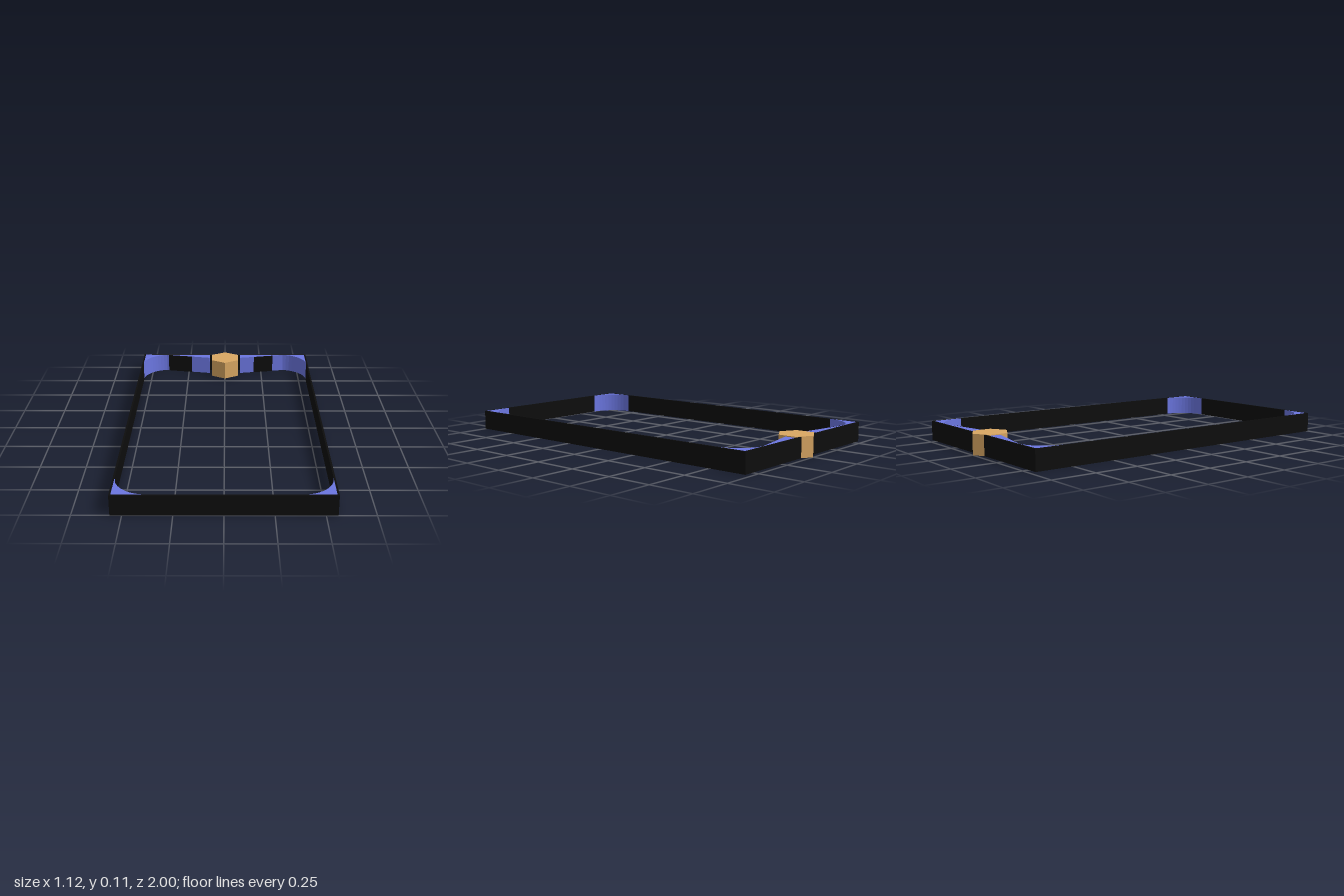
import * as THREE from 'three';

const HEIGHT = 0.112;
const X = 0.56, BACK = -0.965, FRONT = 1.0; // outer frame limits
const WALL = 0.01;

const material = (color) => new THREE.MeshStandardMaterial({ color, flatShading: true });
const black = material(0x0d0d0d);
const blue = material(0x6b76e0);
const tan = material(0xd9a763);

// Shapes are drawn in plan as (x, -z) and raised along y.
function plate(name, shape, mat, height = HEIGHT) {
  const geometry = new THREE.ExtrudeGeometry(shape, { depth: height, bevelEnabled: false, curveSegments: 12 });
  geometry.rotateX(-Math.PI / 2);
  const mesh = new THREE.Mesh(geometry, mat);
  mesh.name = name;
  return mesh;
}

const polygon = (points) => new THREE.Shape(points.map(([x, z]) => new THREE.Vector2(x, -z)));
const rectangle = (x, back, front) => [[-x, back], [-x, front], [x, front], [x, back]];

// Corner filler with a concave rounded inner face; sx and sz point to the corner.
function cornerFillet(sx, sz) {
  const r = 0.17;
  const cx = sx * (X - WALL);
  const cz = sz > 0 ? FRONT - WALL : BACK + WALL;
  const points = [[cx, cz]];
  for (let i = 0; i <= 12; i++) {
    const a = (i / 12) * Math.PI / 2;
    points.push([cx - sx * r * (1 - Math.cos(a)), cz - sz * r * (1 - Math.sin(a))]);
  }
  return polygon(points);
}

export function createModel() {
  const model = new THREE.Group();
  model.name = 'rectangularFrame';

  // Thin rectangular band
  const band = polygon(rectangle(X, BACK, FRONT));
  band.holes.push(polygon(rectangle(X - WALL, BACK + WALL, FRONT - WALL)));
  model.add(plate('frameBand', band, black));

  // Four rounded corners
  for (const sx of [-1, 1]) {
    for (const sz of [-1, 1]) {
      const name = (sz > 0 ? 'front' : 'back') + (sx > 0 ? 'Left' : 'Right') + 'CornerFillet';
      model.add(plate(name, cornerFillet(sx, sz), blue));
    }
  }

  // Tapering braces beside the hexagonal block, each with a dark inner strip
  const inner = BACK + WALL;
  const braceZ = (x) => inner + 0.06 * (0.41 - x) / 0.305;
  for (const s of [-1, 1]) {
    const side = s > 0 ? 'left' : 'right';
    const brace = polygon([[s * 0.105, inner], [s * 0.105, braceZ(0.105)], [s * 0.41, inner]]);
    model.add(plate(side + 'Brace', brace, blue));
    const [a, b] = s > 0 ? [0.2, 0.33] : [0.23, 0.39];
    const strip = polygon([
      [s * a, braceZ(a)], [s * a, braceZ(a) + 0.004],
      [s * b, braceZ(b) + 0.004], [s * b, braceZ(b)],
    ]);
    model.add(plate(side + 'BraceStrip', strip, black));
  }

  // Hexagonal block set through the back wall
  const block = new THREE.Mesh(new THREE.CylinderGeometry(0.104, 0.104, HEIGHT + 0.002, 6), tan);
  block.name = 'hexagonalBlock';
  block.position.set(0, (HEIGHT + 0.002) / 2, -0.896);
  model.add(block);

  return model;
}
